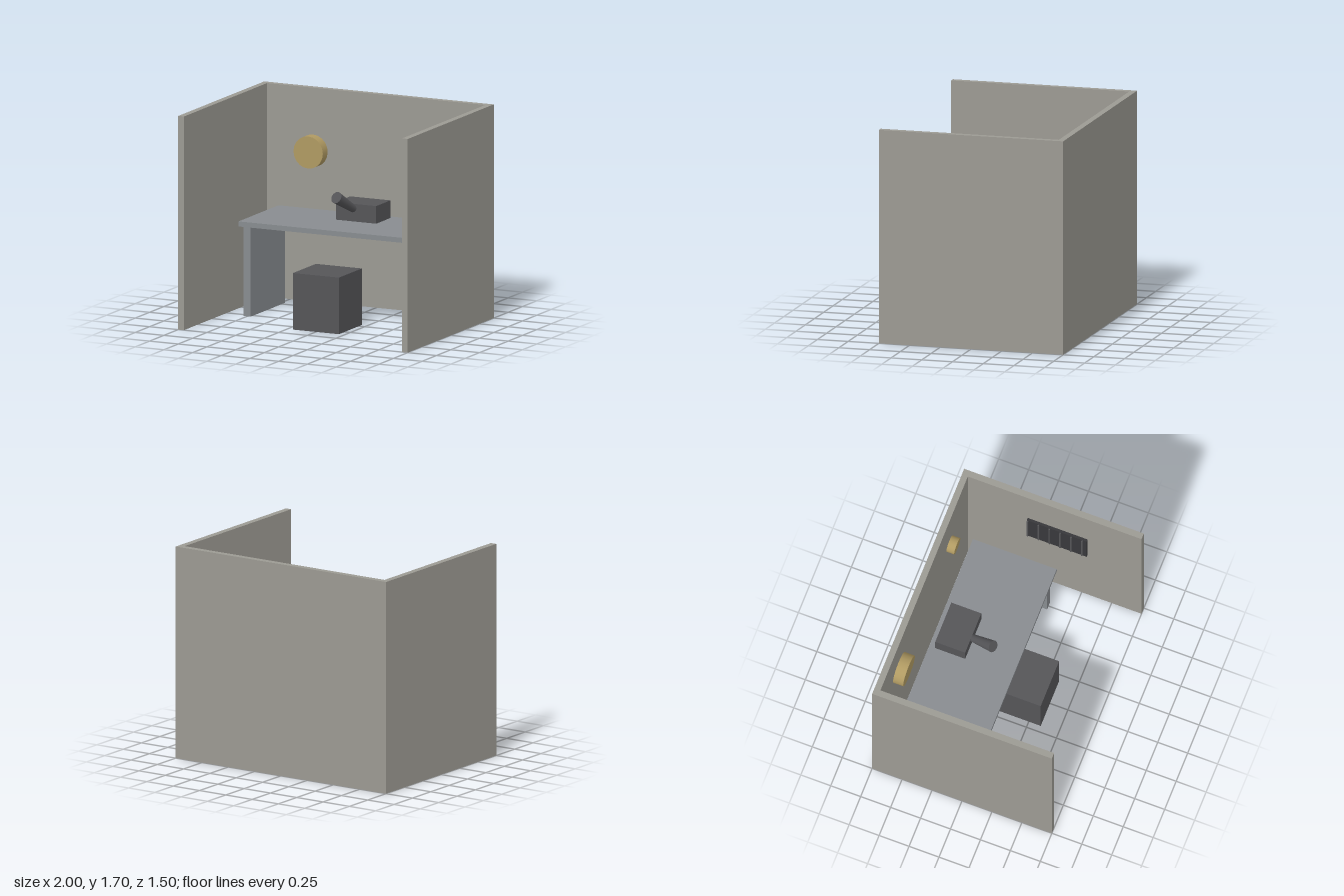
import * as THREE from 'three';

const wallMat = new THREE.MeshStandardMaterial({ color: 0x9c9a93 });
const deskMat = new THREE.MeshStandardMaterial({ color: 0x888c90 });
const darkMat = new THREE.MeshStandardMaterial({ color: 0x555558 });
const blackMat = new THREE.MeshStandardMaterial({ color: 0x38383b });
const brassMat = new THREE.MeshStandardMaterial({ color: 0xb09a62 });

export function createModel() {
  const model = new THREE.Group();
  model.name = 'officeBooth';

  const add = (name, geometry, material, parent = model) => {
    const mesh = new THREE.Mesh(geometry, material);
    mesh.name = name;
    parent.add(mesh);
    return mesh;
  };
  // Box given by its extents on each axis
  const box = (name, material, [x0, x1], [y0, y1], [z0, z1], parent) => {
    const mesh = add(name, new THREE.BoxGeometry(x1 - x0, y1 - y0, z1 - z0), material, parent);
    mesh.position.set((x0 + x1) / 2, (y0 + y1) / 2, (z0 + z1) / 2);
    return mesh;
  };
  // Cylinder running between two points
  const rod = (name, material, from, to, r0, r1, sides) => {
    const a = new THREE.Vector3(...from);
    const axis = new THREE.Vector3(...to).sub(a);
    const mesh = add(name, new THREE.CylinderGeometry(r1, r0, axis.length(), sides), material);
    mesh.position.copy(a).addScaledVector(axis, 0.5);
    mesh.quaternion.setFromUnitVectors(new THREE.Vector3(0, 1, 0), axis.normalize());
    return mesh;
  };

  // Three partition walls
  box('backWall', wallMat, [-0.95, 0.95], [0, 1.7], [-0.75, -0.7]);
  box('rightWall', wallMat, [-1, -0.95], [0, 1.7], [-0.75, 0.75]);
  box('leftWall', wallMat, [0.95, 1], [0, 1.7], [-0.75, 0.75]);

  // Desk with slab legs
  const desk = new THREE.Group();
  desk.name = 'desk';
  model.add(desk);
  box('deskTop', deskMat, [-0.8, 0.8], [0.72, 0.76], [-0.6, 0.1], desk);
  for (const side of [-1, 1]) {
    const x = side * 0.75;
    box('deskLeg', deskMat, [x - 0.03, x + 0.03], [0, 0.72], [-0.55, 0.05], desk);
  }

  // Block stool
  box('stool', darkMat, [-0.2, 0.2], [0, 0.45], [-0.05, 0.35]);

  // Desk device with a flared horn
  box('deviceBody', darkMat, [-0.15, 0.2], [0.76, 0.9], [-0.55, -0.3]);
  rod('deviceHorn', darkMat, [0, 0.86, -0.305], [-0.05, 0.98, -0.105], 0.03, 0.048, 16);

  // Round wall fittings
  rod('largeWallDisc', brassMat, [-0.55, 1.2, -0.7], [-0.55, 1.2, -0.615], 0.128, 0.128, 20);
  rod('smallWallDisc', brassMat, [0.55, 1.2, -0.7], [0.55, 1.2, -0.635], 0.068, 0.068, 20);

  // Slatted panel on the side wall
  const vent = new THREE.Group();
  vent.name = 'wallVent';
  model.add(vent);
  box('ventPanel', blackMat, [0.93, 0.95], [0.905, 1.25], [-0.2, 0.3], vent);
  for (let i = 0; i < 6; i++) {
    const z = -0.193 + i * 0.091;
    box('ventSlat', darkMat, [0.92, 0.93], [0.915, 1.24], [z - 0.006, z + 0.006], vent);
  }
  return model;
}
